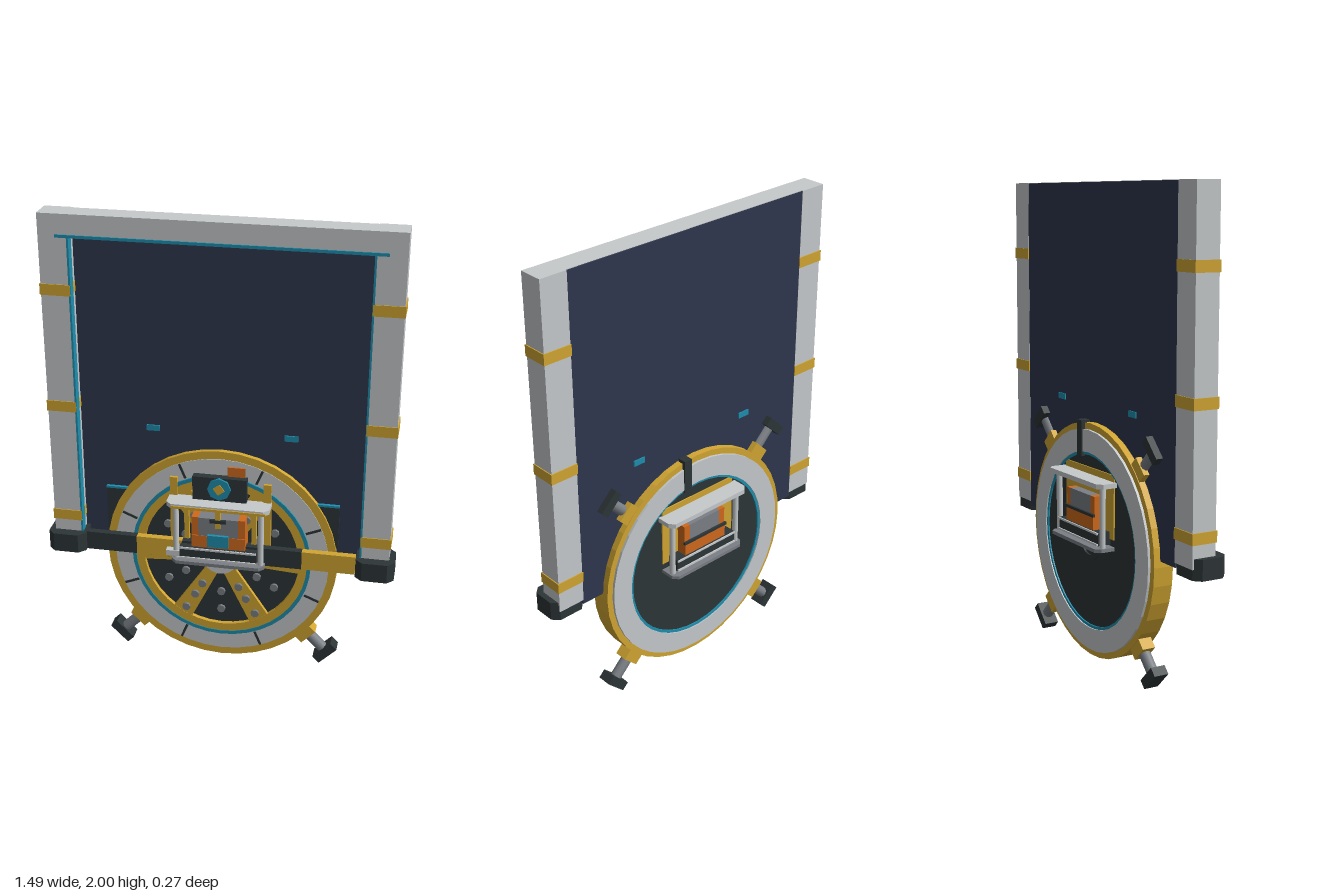
import * as THREE from 'three';

const mat = (name, color) => {
  const m = new THREE.MeshStandardMaterial({ color });
  m.name = name;
  return m;
};

export function createModel() {
  const white = mat('pale grey', 0xc6cacc), gold = mat('gold', 0xd2a632), teal = mat('teal', 0x1f8fae);
  const navy = mat('navy', 0x2e374e), dark = mat('charcoal', 0x2d3537), orange = mat('orange', 0xd06a1c);
  const grey = mat('steel grey', 0x7b8086);
  const root = new THREE.Group();
  root.name = 'gateWithWheel';

  const add = (name, geo, m, parent = root) => {
    const mesh = new THREE.Mesh(geo, m);
    mesh.name = name;
    parent.add(mesh);
    return mesh;
  };
  const group = (name, parent = root) => {
    const g = new THREE.Group();
    g.name = name;
    parent.add(g);
    return g;
  };
  // box given by its limits on each axis
  const box = (name, m, x0, x1, y0, y1, z0, z1, parent = root) => {
    const mesh = add(name, new THREE.BoxGeometry(x1 - x0, y1 - y0, z1 - z0), m, parent);
    mesh.position.set((x0 + x1) / 2, (y0 + y1) / 2, (z0 + z1) / 2);
    return mesh;
  };
  // flat ring or disc facing z
  const ring = (name, m, rOut, rIn, z0, z1, parent) => {
    const s = new THREE.Shape().absarc(0, 0, rOut, 0, Math.PI * 2);
    if (rIn) s.holes.push(new THREE.Path().absarc(0, 0, rIn, 0, Math.PI * 2, true));
    const geo = new THREE.ExtrudeGeometry(s, { depth: z1 - z0, bevelEnabled: false, curveSegments: 20 });
    return add(name, geo.translate(0, 0, z0), m, parent);
  };
  // horizontal plate with cut corners
  const plate = (name, m, x0, x1, y0, y1, z0, z1, c, parent = root) => {
    const s = new THREE.Shape([[x0 + c, z0], [x1 - c, z0], [x1, z0 + c], [x1, z1 - c], [x1 - c, z1],
      [x0 + c, z1], [x0, z1 - c], [x0, z0 + c]].map(([x, z]) => new THREE.Vector2(x, z)));
    const geo = new THREE.ExtrudeGeometry(s, { depth: y1 - y0, bevelEnabled: false });
    return add(name, geo.rotateX(Math.PI / 2).translate(0, y1, 0), m, parent);
  };

  // door frame and panel
  const gate = group('gate');
  box('panel', navy, -0.602, 0.602, 0.54, 1.998, -0.024, 0.012, gate);
  box('topBeam', white, -0.6, 0.6, 1.908, 2, -0.018, 0.08, gate);
  box('topTrim', teal, -0.65, 0.65, 1.906, 1.918, 0.078, 0.086, gate);
  for (const s of [-1, 1]) {
    const side = group(s > 0 ? 'leftSide' : 'rightSide', gate);
    const sbox = (n, m, a, b, ...r) => box(n, m, Math.min(s * a, s * b), Math.max(s * a, s * b), ...r, side);
    sbox('post', white, 0.6, 0.72, 0.56, 2, -0.025, 0.08);
    sbox('innerTrim', teal, 0.596, 0.604, 0.6, 1.906, 0.045, 0.083);
    for (const y of [0.677, 1.186, 1.69]) sbox('band', gold, 0.598, 0.724, y - 0.023, y + 0.023, -0.029, 0.084);
    sbox('marker', teal, 0.262, 0.318, 1.078, 1.103, -0.029, 0.018);
    sbox('bracket', dark, 0.36, 0.5, 0.6, 0.795, 0, 0.022);
    sbox('bracketTrim', teal, 0.36, 0.5, 0.795, 0.804, 0, 0.026);
    const [a, b] = s > 0 ? [0.582, 0.744] : [-0.744, -0.582];
    plate('foot', dark, a, b, 0.517, 0.601, -0.022, 0.125, 0.028, side);
  }

  // striped cross bar
  const bar = group('crossBar');
  [[-0.585, -0.36, dark], [-0.36, -0.16, gold], [-0.16, 0.354, dark], [0.354, 0.58, gold]].forEach(([a, b, m]) =>
    box('barSection', m, a, b, 0.517, 0.6, 0.05, 0.08, bar));

  // wheel
  const wheel = group('wheel');
  wheel.position.y = 0.515;
  ring('rim', gold, 0.5, 0.46, -0.053, 0.034, wheel);
  ring('frontRing', white, 0.466, 0.385, -0.02, 0.037, wheel);
  ring('backRing', white, 0.473, 0.378, -0.064, -0.04, wheel);
  ring('frontTealRing', teal, 0.39, 0.374, 0, 0.044, wheel);
  ring('backTealRing', teal, 0.382, 0.366, -0.059, -0.03, wheel);
  ring('innerRing', gold, 0.376, 0.338, 0, 0.041, wheel);
  ring('disc', dark, 0.37, 0, -0.053, 0.022, wheel);
  ring('hub', white, 0.075, 0, 0.02, 0.055, wheel);
  ring('hubCap', teal, 0.037, 0, 0.055, 0.064, wheel);
  ring('backHub', dark, 0.085, 0.06, -0.062, -0.05, wheel);
  const boltGeo = new THREE.CylinderGeometry(0.018, 0.018, 0.014, 8).rotateX(Math.PI / 2);
  const bolt = (r, z, parent) => add('bolt', boltGeo, grey, parent).position.set(r, 0, z);
  const spokeShape = new THREE.Shape([[0.05, -0.026], [0.345, -0.046], [0.345, 0.046], [0.05, 0.026]]
    .map(([x, y]) => new THREE.Vector2(x, y)));
  const spokeGeo = new THREE.ExtrudeGeometry(spokeShape, { depth: 0.02, bevelEnabled: false });
  for (let i = 0; i < 6; i++) {
    const spoke = group('spoke', wheel);
    spoke.rotation.z = i * Math.PI / 3;
    add('spokeBar', spokeGeo, gold, spoke).position.z = 0.02;
    for (const r of [0.16, 0.225, 0.305]) bolt(r, 0.045, spoke);
    const sector = group('sectorBolts', wheel);
    sector.rotation.z = (i + 0.5) * Math.PI / 3;
    for (const r of [0.18, 0.268]) bolt(r, 0.027, sector);
  }
  for (let i = 0; i < 8; i++) {
    const g = group('tick', wheel);
    g.rotation.z = (i + 0.5) * Math.PI / 4;
    box('tickMark', dark, 0.395, 0.463, -0.005, 0.005, 0.034, 0.041, g);
  }
  // diagonal clamps around the rim
  for (let i = 0; i < 4; i++) {
    const g = group('clamp', wheel);
    g.rotation.z = (i + 0.5) * Math.PI / 2;
    box('clampBlock', gold, 0.475, 0.545, -0.043, 0.043, -0.05, 0.008, g);
    const rod = add('clampRod', new THREE.CylinderGeometry(0.024, 0.024, 0.11, 12).rotateZ(Math.PI / 2), grey, g);
    rod.position.set(0.585, 0, -0.022);
    box('clampPad', dark, 0.63, 0.67, -0.054, 0.054, -0.055, 0.009, g);
  }
  box('pointer', dark, 0.045, 0.083, 0.87, 1.022, -0.07, -0.03);

  // gold mounting frame seen on both faces of the wheel
  const mount = group('mountFrame');
  for (const s of [-1, 1]) box('mountUpright', gold, s * 0.2 - 0.016, s * 0.2 + 0.016, 0.58, 0.885, 0.03, 0.05, mount);
  for (const s of [-1, 1]) box('innerUpright', gold, s * 0.145 - 0.01, s * 0.145 + 0.01, 0.58, 0.78, 0.03, 0.055, mount);
  box('mountTop', gold, -0.215, 0.215, 0.74, 0.765, 0.03, 0.05, mount);
  box('mountBack', gold, -0.2, 0.2, 0.56, 0.83, -0.058, -0.05, mount);

  // cage with the drive unit inside
  const cage = group('cage');
  plate('cageTop', white, -0.218, 0.218, 0.782, 0.802, -0.138, 0.132, 0.022, cage);
  plate('cageBottom', grey, -0.2, 0.2, 0.515, 0.53, -0.138, 0.13, 0.022, cage);
  box('cageTrim', gold, -0.195, 0.205, 0.784, 0.795, 0.13, 0.137, cage);
  for (const x of [-0.182, 0.182]) for (const z of [-0.1, 0.095]) {
    const p = add('cagePost', new THREE.CylinderGeometry(0.013, 0.013, 0.26, 12), white, cage);
    p.position.set(x, 0.655, z);
  }
  box('driveBase', dark, -0.165, 0.165, 0.535, 0.59, -0.112, 0.112, cage);
  for (const z of [-0.114, 0.114]) for (const y of [0.54, 0.586])
    box('baseTrim', white, -0.165, 0.165, y - 0.004, y + 0.004, z - 0.004, z + 0.004, cage);
  box('sideLatch', white, -0.225, -0.16, 0.54, 0.565, 0.08, 0.11, cage);
  box('driveBody', orange, -0.115, 0.115, 0.588, 0.645, -0.105, 0.1, cage);
  box('driveHousing', grey, -0.085, 0.085, 0.64, 0.73, -0.1, 0.098, cage);
  for (const s of [-1, 1]) box('driveCheek', orange, s * 0.1 - 0.015, s * 0.1 + 0.015, 0.64, 0.73, -0.1, 0.095, cage);
  box('backBelt', dark, -0.12, 0.12, 0.645, 0.657, -0.11, -0.1, cage);
  box('drivePlug', teal, -0.045, 0.045, 0.6, 0.655, 0.09, 0.112, cage);
  box('driveShaft', gold, -0.011, 0.011, 0.69, 0.783, 0.09, 0.108, cage);
  box('shaftCollar', dark, -0.035, 0.035, 0.715, 0.73, 0.085, 0.11, cage);

  // sensor head above the cage
  const head = group('sensorHead');
  box('headBox', dark, -0.115, 0.115, 0.8, 0.908, 0.03, 0.07, head);
  const lens = add('lens', new THREE.CylinderGeometry(0.05, 0.05, 0.012, 8).rotateX(Math.PI / 2), teal, head);
  lens.position.set(0, 0.86, 0.074);
  const core = box('lensCore', gold, -0.018, 0.018, 0.842, 0.878, 0.078, 0.084, head);
  core.rotation.z = Math.PI / 5;
  box('headTank', orange, 0.03, 0.105, 0.83, 0.95, 0.012, 0.045, head);
  return root;
}
